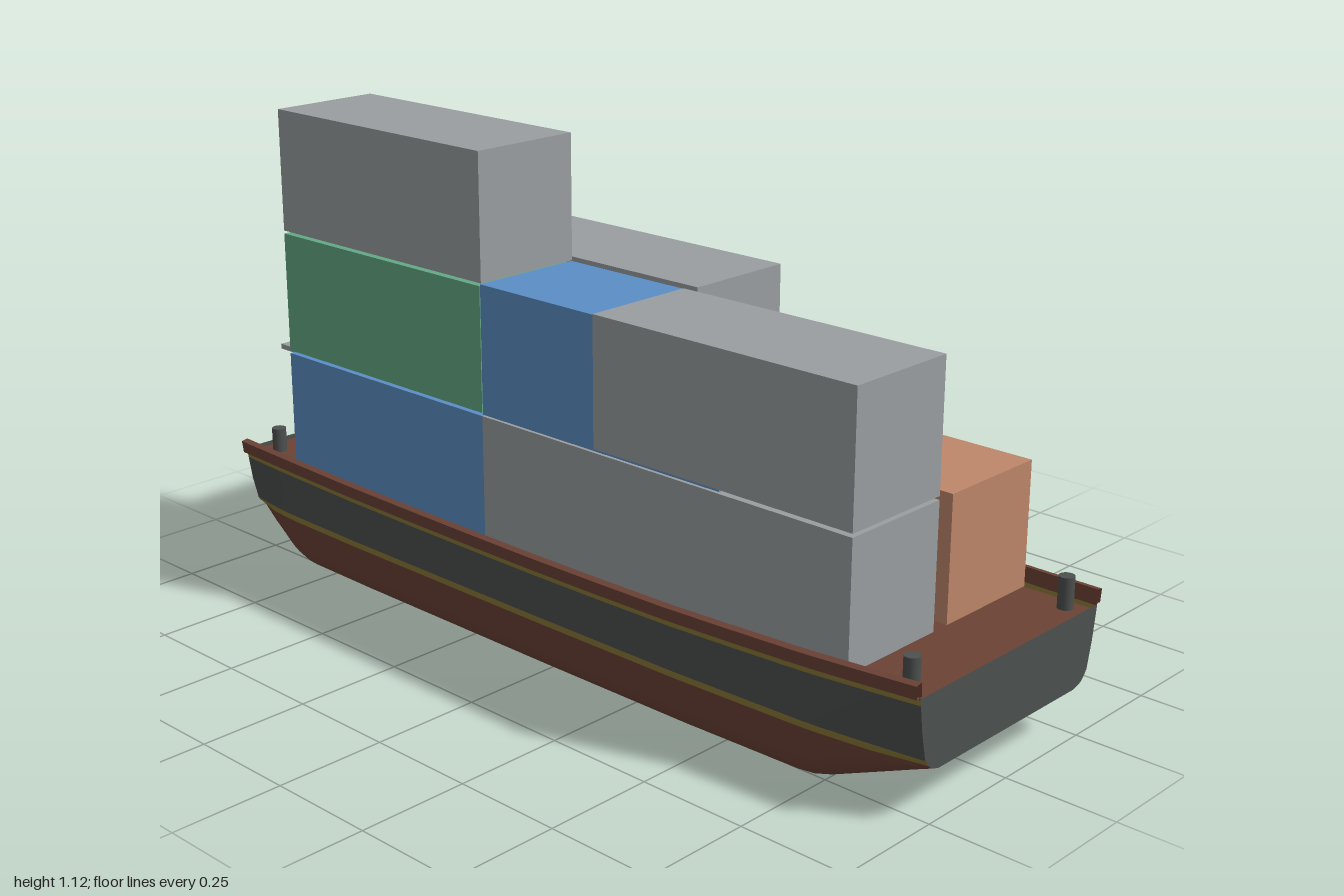
import * as THREE from 'three';

const mat = (name, color, side = THREE.FrontSide) => {
  const m = new THREE.MeshStandardMaterial({ color, side });
  m.name = name;
  return m;
};

// Piecewise-linear lookup through [input, output] pairs
function lerpTable(table, v) {
  for (let i = 1; i < table.length; i++) {
    const [a, fa] = table[i - 1], [b, fb] = table[i];
    if (v <= b) return fa + (fb - fa) * Math.max(0, (v - a) / (b - a));
  }
  return table[table.length - 1][1];
}

// Hull lines along z
const BEAM = [[-1, 0.322], [-0.6, 0.33], [0, 0.332], [0.4, 0.33], [0.75, 0.318], [1, 0.3]];
const KEEL = [[-1, 0.11], [-0.87, 0.015], [-0.83, 0.003], [-0.8, 0], [0.69, 0], [0.73, 0.004], [0.77, 0.016], [1, 0.11]];
const FULLNESS = [[0, 0.76], [0.02, 0.81], [0.05, 0.85], [0.14, 0.905], [0.45, 0.95], [1, 1]];
const STATIONS = [-1, -0.93, -0.87, -0.83, -0.8, -0.6, -0.4, -0.2, 0, 0.2, 0.4, 0.55, 0.69, 0.73, 0.77, 0.88, 1];
const sheer = (z) => (z > 0 ? 0.02 : 0.01) * z * z;
const beam = (z) => lerpTable(BEAM, z);
const keel = (z) => lerpTable(KEEL, z);
const halfWidth = (y, z) => beam(z) * lerpTable(FULLNESS, (y - keel(z)) / (0.285 + sheer(z) - keel(z)));

// Skin over the stations; ring(z) returns the [x, y] points of one cross-section
function loft(ring) {
  const pos = [], index = [];
  const n = ring(0).length;
  STATIONS.forEach((z, i) => {
    ring(z).forEach(([x, y]) => pos.push(x, y, z));
    if (!i) return;
    for (let j = 0; j < n - 1; j++) {
      const a = (i - 1) * n + j, b = a + n;
      index.push(a, a + 1, b, b, a + 1, b + 1);
    }
  });
  const g = new THREE.BufferGeometry();
  g.setAttribute('position', new THREE.Float32BufferAttribute(pos, 3));
  g.setIndex(index);
  g.computeVertexNormals();
  return g;
}

// Right half of the underwater section, keel to waterline
const bilge = (z) => [0, 0.05, 0.12, 0.3, 0.6, 1].map((k) => {
  const y = keel(z) + (0.125 - keel(z)) * k;
  return [halfWidth(y, z), y];
});

export function createModel() {
  const group = new THREE.Group();
  const grey = mat('container grey', 0x9a9ea1);
  const blue = mat('container blue', 0x5b8fc6);
  const green = mat('container green', 0x62a985);
  const orange = mat('container orange', 0xbe866a);
  const yellow = mat('container yellow', 0xc9ae62);
  const brown = mat('red brown', 0x6c4236, THREE.DoubleSide);
  const dark = mat('hull dark grey', 0x4c504e, THREE.DoubleSide);
  const stripe = mat('stripe yellow', 0x8a7936, THREE.DoubleSide);
  const white = mat('cabin white', 0xcdcdca);

  const add = (name, geometry, material) => {
    const m = new THREE.Mesh(geometry, material);
    m.name = name;
    group.add(m);
    return m;
  };
  const box = (name, material, x0, x1, y0, y1, z0, z1) =>
    add(name, new THREE.BoxGeometry(x1 - x0, y1 - y0, z1 - z0), material)
      .position.set((x0 + x1) / 2, (y0 + y1) / 2, (z0 + z1) / 2);

  // Hull bottom
  add('hullBottom', loft((z) => {
    const half = bilge(z);
    return [...half.map(([x, y]) => [-x, y]).reverse(), ...half];
  }), brown);

  // Painted bands up each side, [name, material, lower y, upper y, follows the sheer]
  const bands = [
    ['lowerStripe', stripe, () => 0.125, () => 0.14],
    ['sideBand', dark, () => 0.14, (z) => 0.24 + sheer(z)],
    ['upperStripe', stripe, (z) => 0.24 + sheer(z), (z) => 0.252 + sheer(z)],
    ['bulwark', brown, (z) => 0.252 + sheer(z), (z) => 0.285 + sheer(z)],
  ];
  for (const s of [1, -1]) {
    for (const [name, material, low, high] of bands) {
      add(name, loft((z) => {
        const pts = [0, 0.5, 1].map((k) => {
          const y = low(z) + (high(z) - low(z)) * k;
          return [s * halfWidth(y, z), y];
        });
        return s > 0 ? pts : pts.reverse();
      }), material);
    }
    // Rail along the top edge
    const rail = loft((z) => {
      const w = beam(z), y = 0.288 + sheer(z);
      return [[w - 0.006, y], [w + 0.01, y - 0.003], [w + 0.006, y - 0.032], [w - 0.008, y - 0.03], [w - 0.006, y]]
        .map(([x, h]) => [s * x, h]);
    }).toNonIndexed();
    rail.computeVertexNormals();
    add('rail', rail, brown);
  }

  // Flat ends
  for (const z of [1, -1]) {
    const half = [...bilge(z), [halfWidth(0.15, z), 0.15], [halfWidth(0.2, z), 0.2], [halfWidth(0.275, z), 0.275]];
    const outline = [...half, ...half.map(([x, y]) => [-x, y]).reverse()];
    const shape = new THREE.Shape(outline.map(([x, y]) => new THREE.Vector2(x, y)));
    add('endPlate', new THREE.ShapeGeometry(shape), dark).position.z = z;
  }

  // Deck, narrower than the hull
  box('deck', brown, -0.29, 0.29, 0.255, 0.265, -0.998, 0.998);

  // Mooring posts
  for (const x of [-0.257, 0.257]) {
    for (const z of [-0.95, 0.95]) {
      const top = z > 0 ? 0.335 : 0.323;
      add('mooringPost', new THREE.CylinderGeometry(0.017, 0.017, top - 0.26, 16), dark)
        .position.set(x, (top + 0.26) / 2, z);
    }
  }

  // Cabin
  box('cabin', white, -0.175, 0.17, 0.265, 0.5, -0.98, -0.72);
  box('cabinRoof', grey, -0.2, 0.19, 0.5, 0.512, -1, -0.7);
  box('cabinWindow', dark, -0.13, 0.13, 0.388, 0.453, -0.72, -0.714);

  // Containers in the left row (+x)
  const left = [0.02, 0.29];
  const orangeTop = [yellow, yellow, orange, yellow, yellow, yellow];
  box('container', orange, ...left, 0.266, 0.543, 0.5, 0.83);
  box('container', orangeTop, ...left, 0.266, 0.543, 0.165, 0.5);
  box('container', orange, ...left, 0.266, 0.543, -0.165, 0.165);
  box('container', grey, ...left, 0.266, 0.54, -0.84, -0.165);
  box('container', grey, ...left, 0.548, 0.83, -0.507, 0.16);

  // Containers in the right row (-x)
  const right = [-0.293, -0.024];
  box('container', grey, ...right, 0.266, 0.543, -0.175, 0.83);
  box('container', blue, ...right, 0.266, 0.543, -0.84, -0.175);
  box('container', grey, ...right, 0.551, 0.837, 0.16, 0.83);
  box('container', blue, right[0] + 0.002, right[1] + 0.002, 0.546, 0.835, -0.175, 0.5);
  box('container', green, ...right, 0.55, 0.831, -0.84, -0.175);
  box('container', grey, ...right, 0.838, 1.12, -0.84, -0.17);

  return group;
}
